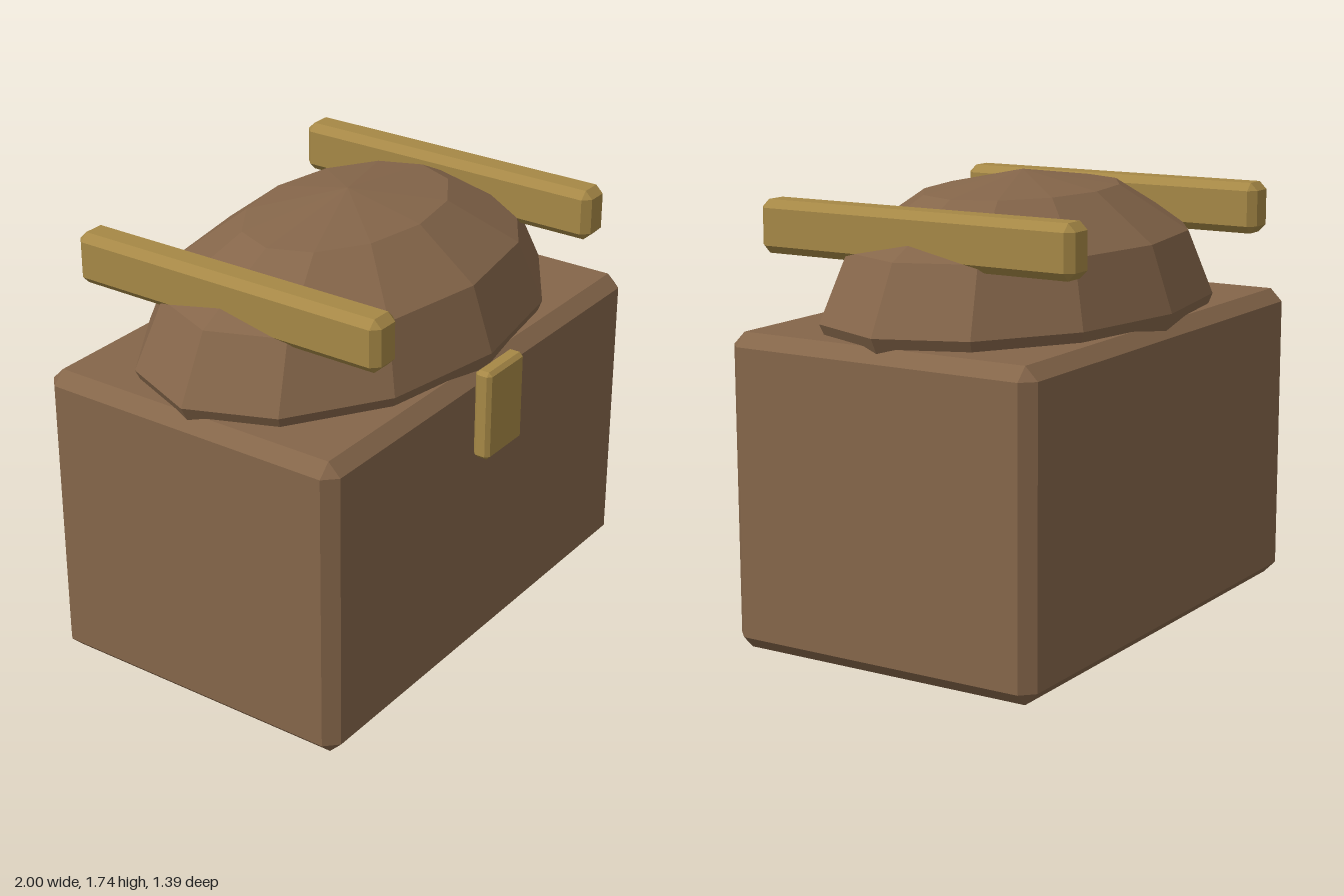
import * as THREE from 'three';
import { ConvexGeometry } from 'three/addons/geometries/ConvexGeometry.js';

// Box with flat chamfers on every edge and triangular corners
function chamferBox(width, height, depth, bevel) {
  const half = [width / 2, height / 2, depth / 2];
  const points = [];
  for (const sx of [-1, 1]) for (const sy of [-1, 1]) for (const sz of [-1, 1]) {
    for (let axis = 0; axis < 3; axis++) {
      const [x, y, z] = half.map((h, i) => (i === axis ? h : h - bevel));
      points.push(new THREE.Vector3(sx * x, sy * y, sz * z));
    }
  }
  return new ConvexGeometry(points);
}

export function createModel() {
  const group = new THREE.Group();
  const wood = new THREE.MeshStandardMaterial({ color: 0x85664a, flatShading: true });
  const brass = new THREE.MeshStandardMaterial({ color: 0xa68846, flatShading: true });

  const add = (name, geometry, material, x, y, z) => {
    const mesh = new THREE.Mesh(geometry, material);
    mesh.name = name;
    mesh.position.set(x, y, z);
    group.add(mesh);
  };

  // Chest body
  add('body', chamferBox(2, 1.2, 1.3, 0.05), wood, 0, 0.6, -0.025);

  // Domed lid: low-poly ellipsoid sunk into the body
  const dome = new THREE.SphereGeometry(1, 12, 6).scale(1, 0.5, 0.65);
  add('lid', dome, wood, 0, 1.24, -0.025);

  // Straps across the lid
  const strap = chamferBox(0.14, 0.2, 1.34, 0.03);
  add('leftStrap', strap, brass, 0.7, 1.56, -0.025);
  add('rightStrap', strap, brass, -0.7, 1.56, -0.025);

  // Front clasp
  add('clasp', chamferBox(0.24, 0.36, 0.07, 0.015), brass, 0, 1.04, 0.66);

  return group;
}
